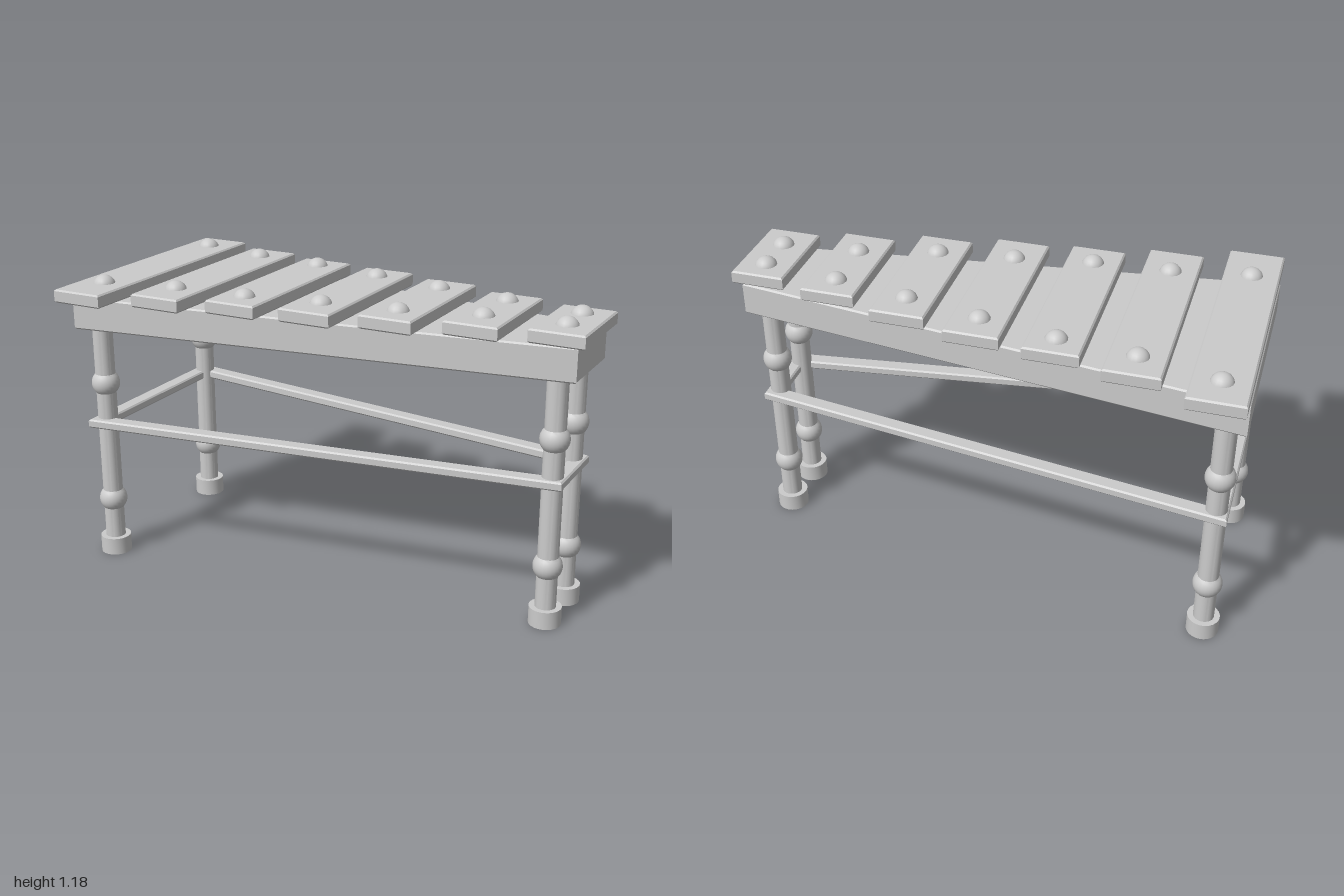
import * as THREE from 'three';
import { toCreasedNormals } from 'three/addons/utils/BufferGeometryUtils.js';

const grey = new THREE.MeshStandardMaterial({ color: 0xcccccc });
const greyDouble = new THREE.MeshStandardMaterial({ color: 0xcccccc, side: THREE.DoubleSide });

function add(parent, name, geometry, x = 0, y = 0, z = 0, material = grey) {
  const mesh = new THREE.Mesh(geometry, material);
  mesh.name = name;
  mesh.position.set(x, y, z);
  parent.add(mesh);
  return mesh;
}

// Outline of a tapered board: x range, then back and front z at each end
function taper(Type, x0, x1, back0, front0, back1, front1) {
  return new Type([[x0, front0], [x1, front1], [x1, back1], [x0, back0]]
    .map(([x, z]) => new THREE.Vector2(x, -z)));
}

// Horizontal board with slightly bevelled edges between two heights
function board(shape, y0, y1, bevel) {
  const g = new THREE.ExtrudeGeometry(shape, {
    depth: y1 - y0 - 2 * bevel, bevelEnabled: true, bevelThickness: bevel,
    bevelSize: bevel, bevelOffset: -bevel, bevelSegments: 1,
  });
  return g.rotateX(-Math.PI / 2).translate(0, y0 + bevel, 0);
}

// Turned leg: hollow foot, straight shaft and two round beads
function legGeometry() {
  const shaft = 0.04, bead = 0.056;
  const pts = [[0.037, 0.96], [0.037, 0], [0.062, 0], [0.062, 0.07], [shaft, 0.07]];
  const half = Math.acos(shaft / bead);
  for (const y of [0.235, 0.735]) {
    for (let i = 0; i <= 8; i++) {
      const a = half * (i / 4 - 1);
      pts.push([bead * Math.cos(a), y + bead * Math.sin(a)]);
    }
  }
  pts.push([shaft, 0.97]);
  const g = new THREE.LatheGeometry(pts.map(p => new THREE.Vector2(...p)), 24);
  return toCreasedNormals(g, 0.5);
}

export function createModel() {
  const model = new THREE.Group();
  model.name = 'xylophone';

  // Tapered soundboard body
  add(model, 'body', board(taper(THREE.Shape, -1, 0.96, -0.43, 0.41, -0.17, 0.15), 0.965, 1.094, 0.006));

  // Open stretcher frame joining the legs
  const frame = taper(THREE.Shape, -0.97, 0.93, -0.425, 0.405, -0.16, 0.15);
  frame.holes.push(taper(THREE.Path, -0.91, 0.87, -0.357, 0.337, -0.108, 0.098));
  add(model, 'stretcherFrame', board(frame, 0.555, 0.59, 0.006));

  // Legs
  const leg = legGeometry();
  for (const [x, z] of [[-0.925, 0.335], [-0.925, -0.37], [0.88, 0.103], [0.88, -0.107]]) {
    add(model, 'leg', leg, x, 0, z, greyDouble);
  }

  // Bars: centre x, half length, back and front peg z
  const bars = [
    [-0.893, 0.52, -0.39, 0.343], [-0.595, 0.438, -0.322, 0.29], [-0.3, 0.382, -0.292, 0.27],
    [-0.003, 0.353, -0.24, 0.218], [0.293, 0.297, -0.18, 0.18], [0.59, 0.228, -0.13, 0.1],
    [0.89, 0.182, -0.092, 0.07],
  ];
  const peg = new THREE.SphereGeometry(0.044, 16, 8, 0, Math.PI * 2, 0, Math.PI / 2);
  for (const [x, half, back, front] of bars) {
    const group = new THREE.Group();
    group.name = 'bar';
    group.position.x = x;
    add(group, 'barPlate', board(taper(THREE.Shape, -0.104, 0.104, -half, half, -half, half), 1.098, 1.15, 0.006));
    for (const z of [back, front]) add(group, 'peg', peg, 0, 1.137, z);
    model.add(group);
  }
  return model;
}
